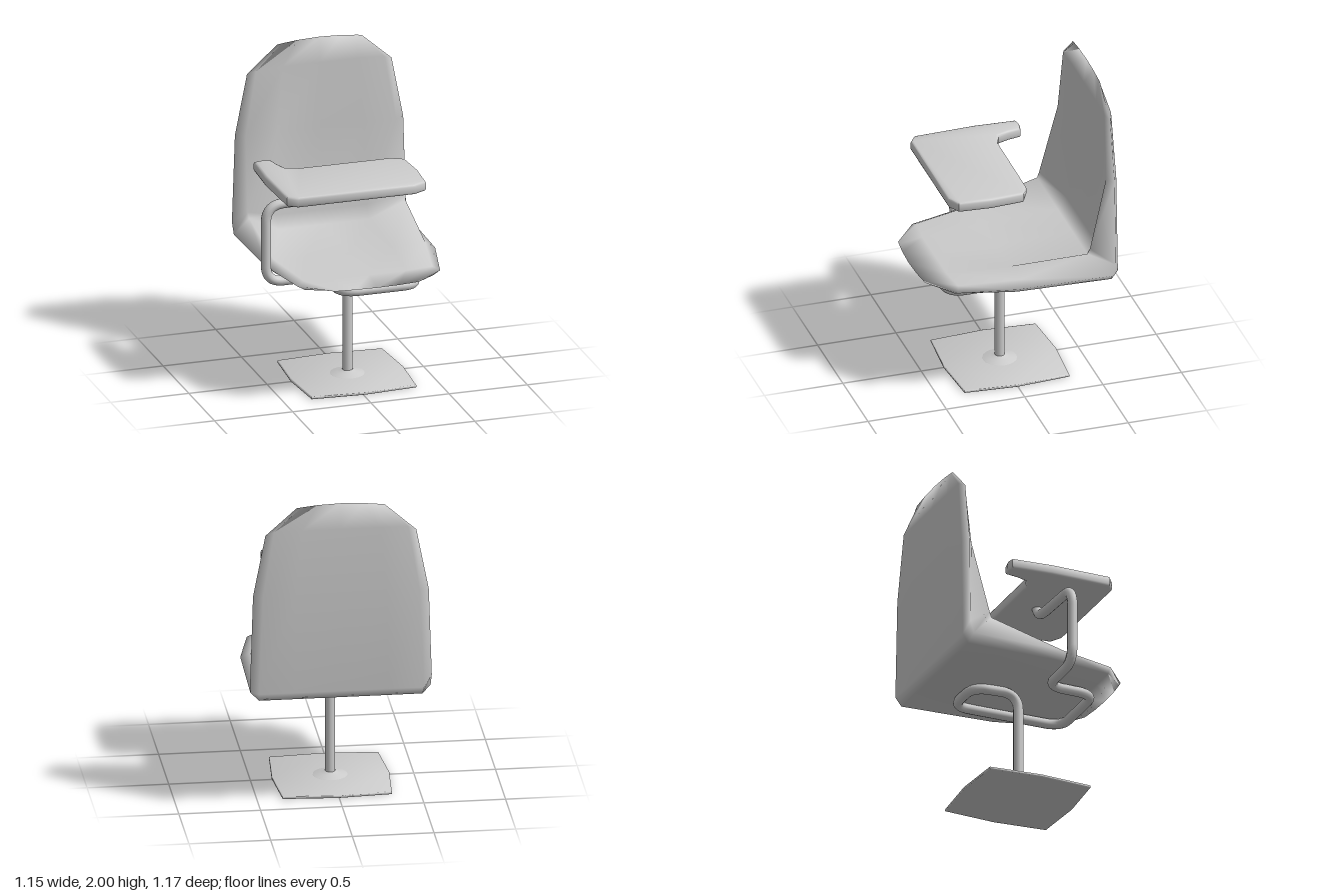
import * as THREE from 'three';
import { mergeVertices, toCreasedNormals } from 'three/addons/utils/BufferGeometryUtils.js';

const material = new THREE.MeshStandardMaterial({ color: 0xcccccc, side: THREE.DoubleSide });
const v = (x, y, z) => new THREE.Vector3(x, y, z);

function addMesh(group, name, geometry) {
  const mesh = new THREE.Mesh(geometry, material);
  mesh.name = name;
  group.add(mesh);
  return mesh;
}

// Straight runs joined by rounded corners
function roundedPath(points, radius) {
  const path = new THREE.CurvePath();
  let from = points[0];
  for (let i = 1; i < points.length - 1; i++) {
    const p = points[i];
    const reach = (q) => {
      const d = q.clone().sub(p);
      return p.clone().addScaledVector(d.normalize(), Math.min(radius, p.distanceTo(q) * 0.48));
    };
    const a = reach(points[i - 1]), b = reach(points[i + 1]);
    path.add(new THREE.LineCurve3(from, a));
    path.add(new THREE.QuadraticBezierCurve3(a, p, b));
    from = b;
  }
  path.add(new THREE.LineCurve3(from, points[points.length - 1]));
  return path;
}

// One-piece seat and back: closed cross-sections from the front lip to the top
function shellGeometry() {
  // edge half-width, bolster half-width, then [y, z] of edge, bolster, middle and underside
  const stations = [
    { w: 0.27, b: 0.24, edge: [0.775, 0.565], rim: [0.775, 0.565], mid: [0.775, 0.565], out: [0.775, 0.565], bulge: [0, 0.02] },
    { w: 0.455, b: 0.41, edge: [0.775, 0.415], rim: [0.8, 0.40], mid: [0.8, 0.42], out: [0.75, 0.42] },
    { w: 0.54, b: 0.485, edge: [0.785, 0.06], rim: [0.82, 0.03], mid: [0.805, 0.03], out: [0.74, 0.05] },
    { w: 0.552, b: 0.5, edge: [0.785, -0.535], rim: [0.935, -0.395], mid: [0.815, -0.46], out: [0.735, -0.55] },
    { w: 0.556, b: 0.505, edge: [0.86, -0.56], rim: [0.97, -0.41], mid: [0.89, -0.515], out: [0.79, -0.588] },
    { w: 0.538, b: 0.48, edge: [1.42, -0.557], rim: [1.42, -0.52], mid: [1.42, -0.53], out: [1.42, -0.586] },
    { w: 0.462, b: 0.41, edge: [1.81, -0.553], rim: [1.83, -0.532], mid: [1.84, -0.532], out: [1.84, -0.575] },
    { w: 0.27, b: 0.24, edge: [1.98, -0.55], rim: [1.98, -0.55], mid: [1.98, -0.55], out: [1.98, -0.55], bulge: [0.02, 0] },
  ];
  const positions = [], index = [], n = 12;
  for (const s of stations) {
    const m = s.w * 0.52, bulge = s.bulge || [0, 0];
    const ring = [
      [s.w, s.edge], [s.b, s.rim], [m, s.mid], [0, s.mid], [-m, s.mid], [-s.b, s.rim],
      [-s.w, s.edge], [-s.b, s.out], [-m, s.out], [0, s.out], [m, s.out], [s.b, s.out],
    ];
    for (const [x, [y, z]] of ring) {
      const k = 1 - (x / s.w) ** 2;
      positions.push(x + 0.015, y + bulge[0] * k, z + bulge[1] * k);
    }
  }
  for (let i = 0; i < stations.length - 1; i++) {
    for (let j = 0; j < n; j++) {
      const a = i * n + j, b = i * n + (j + 1) % n;
      index.push(a, a + n, b, b, a + n, b + n);
    }
  }
  const geometry = new THREE.BufferGeometry();
  geometry.setAttribute('position', new THREE.Float32BufferAttribute(positions, 3));
  geometry.setIndex(index);
  const merged = mergeVertices(geometry);
  merged.computeVertexNormals();
  return merged;
}

// Flat plate from an outline of [x, z] points, with a bevelled rim
function plateGeometry(outline, bottom, top, bevel) {
  const shape = new THREE.Shape(outline.map(([x, z]) => new THREE.Vector2(x, -z)));
  const geometry = new THREE.ExtrudeGeometry(shape, {
    depth: top - bottom - 2 * bevel, bevelThickness: bevel, bevelSize: bevel,
    bevelOffset: -bevel, bevelSegments: 2,
  });
  geometry.rotateX(-Math.PI / 2).translate(0, bottom + bevel, 0);
  return toCreasedNormals(geometry, 0.8);
}

export function createModel() {
  const group = new THREE.Group();
  group.name = 'tabletChair';

  addMesh(group, 'seatShell', shellGeometry());

  // Writing tablet with an elbow rest reaching back
  addMesh(group, 'writingTablet', plateGeometry([
    [-0.5, -0.262], [-0.45, -0.272], [-0.39, -0.26], [-0.375, -0.18], [-0.348, -0.105],
    [-0.27, -0.076], [0.31, -0.072], [0.39, -0.03], [0.405, 0.18], [0.39, 0.385],
    [0.31, 0.427], [-0.44, 0.427], [-0.5, 0.385], [-0.514, 0],
  ], 1.287, 1.354, 0.016));

  // One bent tube: pedestal, loop under the seat, arm post and tablet support
  const y = 0.708;
  const frame = roundedPath([
    v(0.012, 0.01, 0.003), v(0.012, y, 0.003), v(0.03, y, -0.29), v(0.328, y, -0.29),
    v(0.328, y, 0.43), v(-0.165, y, 0.43), v(-0.175, y, 0.115), v(-0.545, y, 0.115),
    v(-0.545, 1.205, 0.115), v(-0.05, 1.222, 0.115), v(-0.005, 1.31, 0.115),
  ], 0.11);
  addMesh(group, 'tubeFrame', new THREE.TubeGeometry(frame, 220, 0.031, 12));

  // Floor plate with slightly bowed sides
  const c = 0.335, m = 0.36, o = 0.01;
  addMesh(group, 'basePlate', plateGeometry([
    [-c + o, -c], [o, -m], [c + o, -c], [m + o, 0],
    [c + o, c], [o, m], [-c + o, c], [-m + o, 0],
  ], 0, 0.018, 0.005));

  // Flared collar where the pedestal meets the plate
  const collar = new THREE.LatheGeometry([
    [0.11, 0.012], [0.105, 0.02], [0.06, 0.03], [0.03, 0.042],
  ].map(([r, h]) => new THREE.Vector2(r, h)), 20);
  addMesh(group, 'baseCollar', collar).position.set(0.012, 0, 0.003);

  return group;
}
